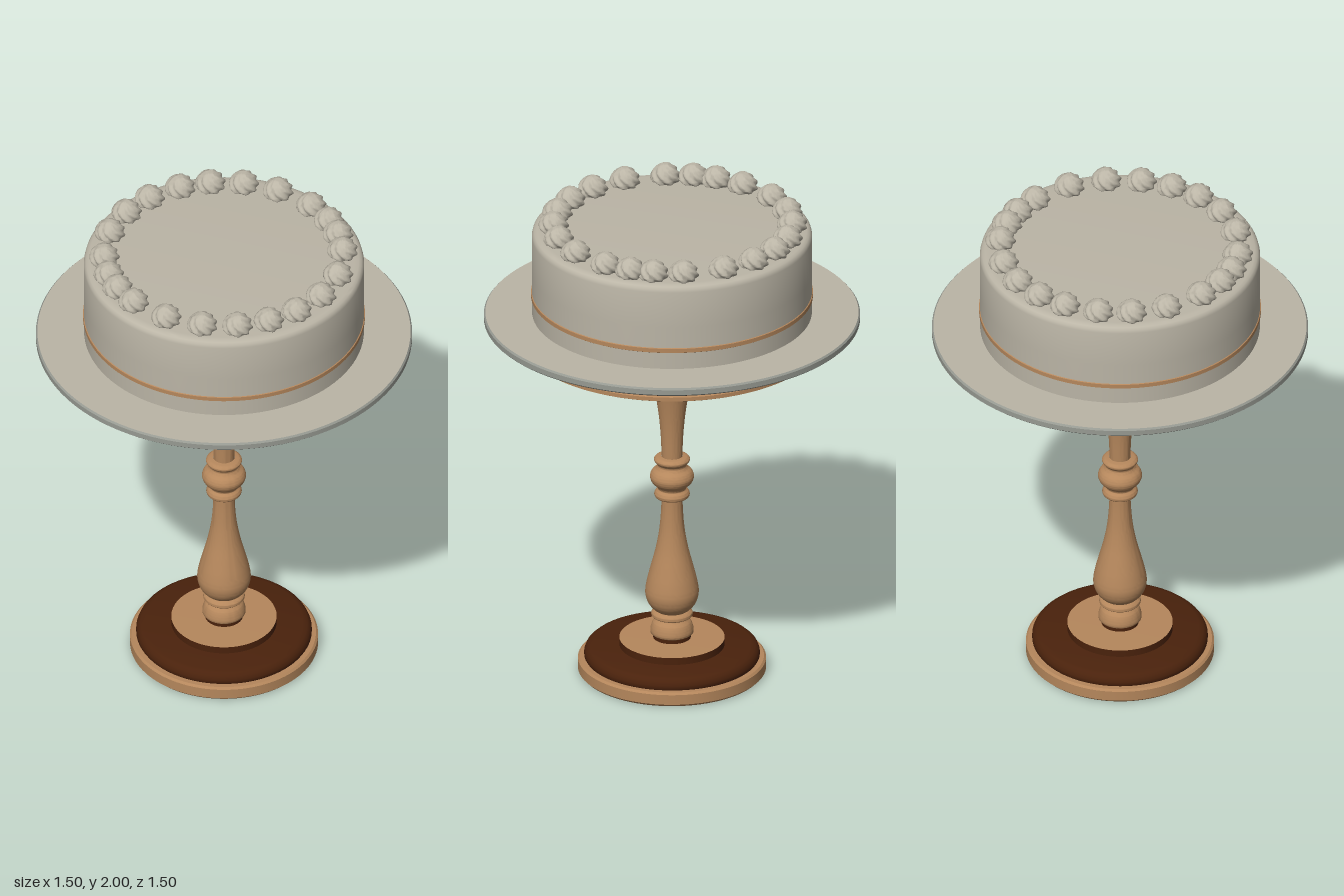
import * as THREE from 'three';
import { toCreasedNormals } from 'three/addons/utils/BufferGeometryUtils.js';

const mat = (name, color) => {
  const m = new THREE.MeshStandardMaterial({ color });
  m.name = name;
  return m;
};

export function createModel() {
  const icing = mat('icing', 0xbbb5a6);
  const plate = mat('plateEdge', 0x979a92);
  const wood = mat('lightWood', 0xb5875c);
  const dark = mat('darkWood', 0x4a220c);

  const model = new THREE.Group();
  model.name = 'cakeOnPedestal';

  // Turned part: profile of [radius, height] from bottom to top
  const turned = (name, material, profile, smooth = 0, segments = 96) => {
    let pts = profile.map(([r, y]) => new THREE.Vector2(r, y));
    if (smooth) pts = new THREE.SplineCurve(pts).getPoints(smooth);
    const geo = toCreasedNormals(new THREE.LatheGeometry(pts, segments), 0.6);
    const mesh = new THREE.Mesh(geo, material);
    mesh.name = name;
    model.add(mesh);
    return mesh;
  };

  // Stepped round base
  turned('baseFoot', wood, [[0, 0], [0.365, 0], [0.375, 0.01], [0.375, 0.052], [0.367, 0.06], [0, 0.06]]);
  turned('baseMoulding', dark, [[0.345, 0.058], [0.35, 0.066], [0.35, 0.08], [0.344, 0.095], [0.333, 0.105], [0.315, 0.11], [0, 0.11]]);
  turned('baseStepSide', dark, [[0.21, 0.108], [0.21, 0.14]]);
  turned('baseStepTop', wood, [[0.21, 0.14], [0, 0.141]]);
  turned('columnSocket', dark, [[0.075, 0.138], [0.075, 0.162], [0, 0.162]]);

  // Turned column: vase, bulb knot and flared capital
  turned('columnFoot', wood, [
    [0.078, 0.158], [0.086, 0.165], [0.085, 0.185], [0.076, 0.21], [0.062, 0.225],
    [0.066, 0.23], [0.08, 0.236], [0.083, 0.245], [0.078, 0.255], [0.064, 0.262],
  ], 50, 64);
  turned('columnVase', wood, [
    [0.06, 0.258], [0.078, 0.272], [0.098, 0.3], [0.107, 0.34], [0.1, 0.39], [0.084, 0.455],
    [0.065, 0.53], [0.051, 0.61], [0.044, 0.69], [0.042, 0.755],
  ], 50, 64);
  turned('columnKnot', wood, [
    [0.042, 0.75], [0.064, 0.754], [0.071, 0.766], [0.066, 0.78], [0.056, 0.79], [0.062, 0.802],
    [0.08, 0.82], [0.088, 0.843], [0.08, 0.866], [0.062, 0.882], [0.057, 0.895], [0.066, 0.905],
    [0.072, 0.917], [0.064, 0.928], [0.043, 0.932],
  ], 90, 64);
  turned('columnUpperShaft', wood, [
    [0.041, 0.92], [0.045, 1.02], [0.053, 1.11], [0.066, 1.2], [0.08, 1.275], [0.084, 1.29],
  ], 40, 64);
  turned('columnCollar', wood, [
    [0.08, 1.279], [0.097, 1.281], [0.102, 1.289], [0.096, 1.297], [0.09, 1.302], [0.09, 1.31],
    [0.094, 1.316], [0.103, 1.322], [0.104, 1.33], [0.094, 1.337],
  ], 50, 64);
  turned('columnCapital', wood, [
    [0.094, 1.332], [0.098, 1.355], [0.115, 1.379], [0.145, 1.4], [0.178, 1.413], [0.2, 1.424], [0.203, 1.435],
  ], 40, 64);

  // Board under the plate: light rim, dark cove, light lip
  turned('boardBottom', wood, [[0, 1.43], [0.585, 1.43], [0.597, 1.436], [0.597, 1.452], [0.59, 1.459], [0.56, 1.459]]);
  turned('boardCove', dark, [[0.58, 1.455], [0.605, 1.463], [0.622, 1.475], [0.635, 1.492], [0.645, 1.513]]);
  turned('boardTopRim', wood, [[0.64, 1.512], [0.668, 1.512], [0.676, 1.518], [0.676, 1.526]]);

  // Wide plate
  turned('plateBody', plate, [[0, 1.525], [0.742, 1.525], [0.75, 1.532], [0.75, 1.553], [0.744, 1.56]]);
  turned('plateTop', icing, [[0.744, 1.56], [0, 1.561]]);

  // Cake with a rounded top edge and a ribbon
  turned('cake', icing, [
    [0.558, 1.558], [0.559, 1.74], [0.559, 1.893], [0.556, 1.905], [0.549, 1.914], [0.538, 1.919], [0.52, 1.92], [0, 1.92],
  ]);
  turned('ribbon', wood, [[0.557, 1.629], [0.562, 1.632], [0.562, 1.649], [0.557, 1.652]]);

  // Piped swirl: a dome with twisted ridges
  const swirl = new THREE.LatheGeometry(new THREE.SplineCurve([
    [0.046, 0], [0.056, 0.014], [0.056, 0.03], [0.048, 0.05], [0.032, 0.067], [0.014, 0.078], [0, 0.083],
  ].map(([r, y]) => new THREE.Vector2(r, y))).getPoints(16), 48);
  const pos = swirl.attributes.position;
  for (let i = 0; i < pos.count; i++) {
    const x = pos.getX(i), y = pos.getY(i), z = pos.getZ(i);
    const ridge = 1 + 0.09 * Math.cos(7 * (Math.atan2(x, z) + y * 22));
    pos.setXYZ(i, x * ridge, y, z * ridge);
  }
  const swirlGeo = toCreasedNormals(swirl, 1.0);

  // Swirls around the rim, mirrored left and right
  const swirls = new THREE.Group();
  swirls.name = 'pipedSwirls';
  const addSwirl = (degrees) => {
    const a = THREE.MathUtils.degToRad(degrees);
    const mesh = new THREE.Mesh(swirlGeo, icing);
    mesh.name = 'swirl';
    mesh.position.set(0.476 * Math.sin(a), 1.917, 0.476 * Math.cos(a) - 0.004);
    mesh.rotation.y = a;
    swirls.add(mesh);
  };
  [15.5, 32.5, 51, 71, 84.5, 96, 110.5, 130.5, 148, 164].forEach((d) => { addSwirl(d); addSwirl(-d); });
  addSwirl(0);
  addSwirl(179);
  model.add(swirls);

  return model;
}
